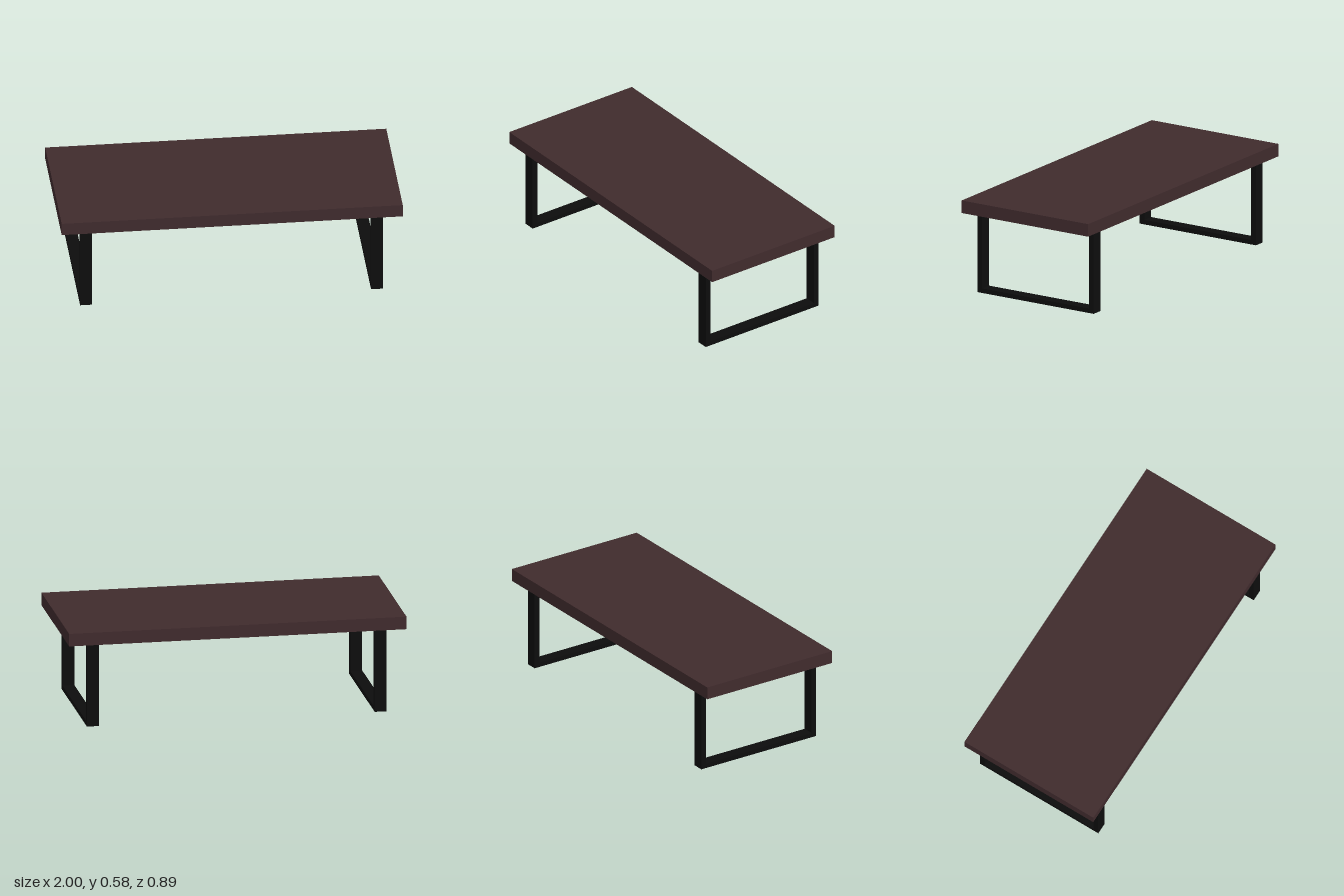
import * as THREE from 'three';

export function createModel() {
  const model = new THREE.Group();
  model.name = 'coffeeTable';

  const wood = new THREE.MeshStandardMaterial({ color: 0x402b2d });
  wood.name = 'darkWood';
  const metal = new THREE.MeshStandardMaterial({ color: 0x0d0d0d });
  metal.name = 'blackMetal';

  const underside = 0.502, topThickness = 0.076;
  const legWidth = 0.07, legDepth = 0.033, railHeight = 0.028;
  const legX = 0.853, frameHalfDepth = 0.407;

  const addBox = (parent, name, material, size, position) => {
    const mesh = new THREE.Mesh(new THREE.BoxGeometry(...size), material);
    mesh.name = name;
    mesh.position.set(...position);
    parent.add(mesh);
  };

  // Slab top
  addBox(model, 'tableTop', wood, [2, topThickness, 0.886], [0, underside + topThickness / 2, 0]);

  // U-shaped leg frame at each end
  for (const side of [-1, 1]) {
    const frame = new THREE.Group();
    frame.name = side > 0 ? 'leftLegFrame' : 'rightLegFrame';
    frame.position.x = side * legX;
    model.add(frame);

    for (const end of [-1, 1]) {
      addBox(frame, end > 0 ? 'frontLeg' : 'backLeg', metal,
        [legWidth, underside, legDepth],
        [0, underside / 2, end * (frameHalfDepth - legDepth / 2)]);
    }
    // Floor rail fits between the legs
    addBox(frame, 'floorRail', metal,
      [legWidth, railHeight, 2 * (frameHalfDepth - legDepth)], [0, railHeight / 2, 0]);
  }

  return model;
}
